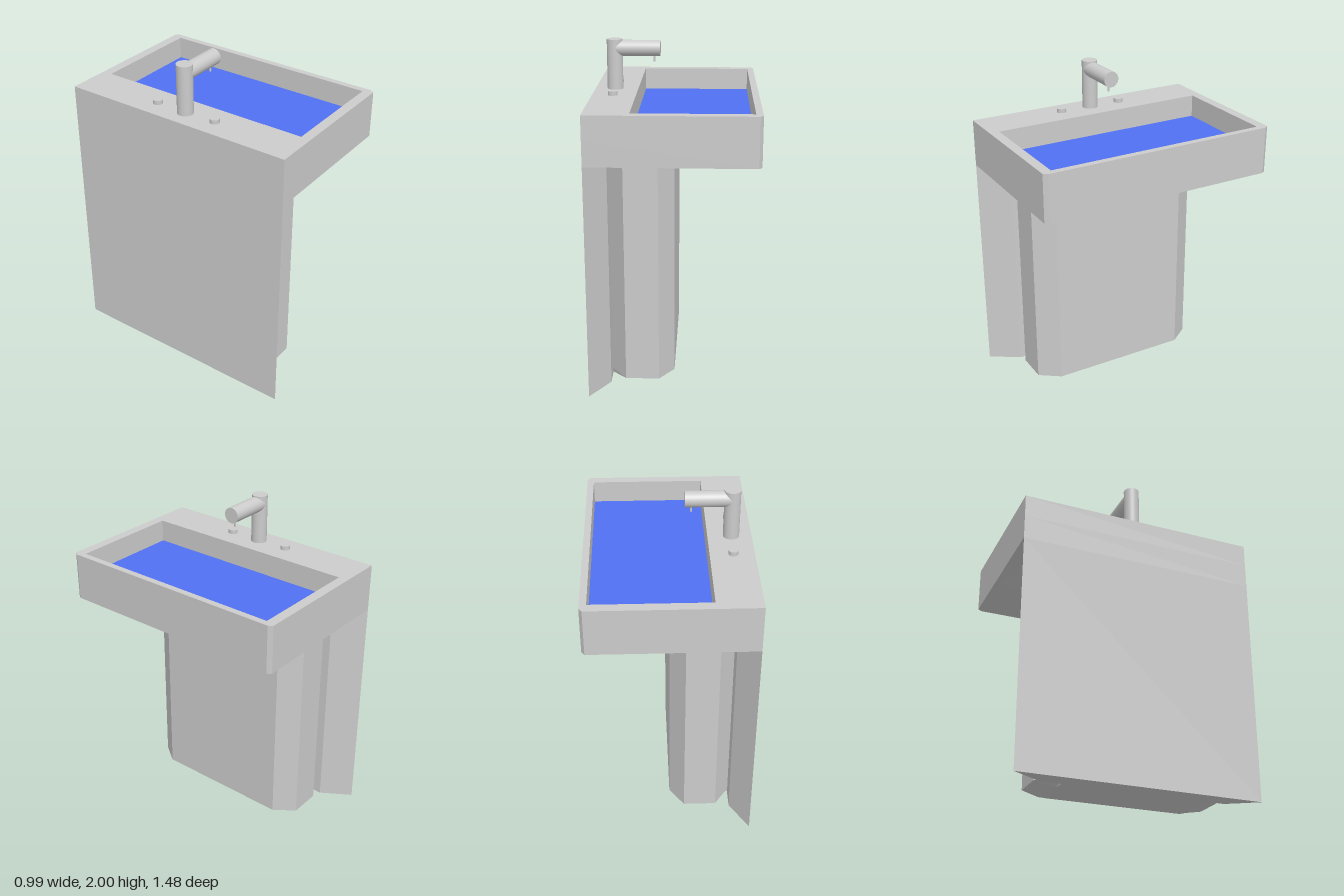
import * as THREE from 'three';

const grey = new THREE.MeshStandardMaterial({ color: 0xcccccc });
const flatGrey = new THREE.MeshStandardMaterial({ color: 0xcccccc, flatShading: true });
const blue = new THREE.MeshStandardMaterial({ color: 0x5070f2 });

// Mirror half an outline of [x, z] points across z = 0
const mirrored = half => [...half, ...half.map(([x, z]) => [x, -z]).reverse()];
const toPath = (half, Type) => new Type(mirrored(half).map(([x, z]) => new THREE.Vector2(x, -z)));

// Vertical prism from a plan outline
function prism(half, y0, y1, holeHalf) {
  const shape = toPath(half, THREE.Shape);
  if (holeHalf) shape.holes.push(toPath(holeHalf, THREE.Path));
  return new THREE.ExtrudeGeometry(shape, { depth: y1 - y0, bevelEnabled: false })
    .rotateX(-Math.PI / 2).translate(0, y0, 0);
}

// Faceted skin through stacked plan outlines, with a cap underneath
function loft(sections) {
  const rings = sections.map(([y, half]) => mirrored(half).map(([x, z]) => [x, y, z]));
  const n = rings[0].length, pos = [];
  for (let r = 0; r + 1 < rings.length; r++) {
    const lo = rings[r], hi = rings[r + 1];
    for (let i = 0; i < n; i++) {
      const j = (i + 1) % n;
      pos.push(...lo[i], ...lo[j], ...hi[j], ...lo[i], ...hi[j], ...hi[i]);
    }
  }
  for (let i = 1; i + 1 < n; i++) pos.push(...rings[0][0], ...rings[0][i + 1], ...rings[0][i]);
  const geo = new THREE.BufferGeometry();
  geo.setAttribute('position', new THREE.Float32BufferAttribute(pos, 3));
  geo.computeVertexNormals();
  return geo;
}

export function createModel() {
  const model = new THREE.Group();
  model.name = 'washbasin';
  const add = (parent, name, geo, mat = grey, x = 0, y = 0, z = 0) => {
    const mesh = new THREE.Mesh(geo, mat);
    mesh.name = name;
    mesh.position.set(x, y, z);
    parent.add(mesh);
    return mesh;
  };

  // Basin: solid slab below, rim with rectangular opening above, coloured floor
  const outline = [[-0.495, 0.74], [0.472, 0.74], [0.49, 0.715]];
  const opening = [[-0.235, 0.68], [0.45, 0.68]];
  const floorY = 1.56;
  const basin = new THREE.Group();
  basin.name = 'basin';
  model.add(basin);
  add(basin, 'basinBody', prism(outline, 1.41, floorY), flatGrey);
  add(basin, 'basinRim', prism(outline, floorY, 1.7, opening), flatGrey);
  add(basin, 'basinFloor', new THREE.PlaneGeometry(0.685, 1.36).rotateX(-Math.PI / 2),
    blue, 0.1075, floorY + 0.002, 0);

  // Wall panel with sloping sides
  add(model, 'backPanel', prism([[-0.495, 0.74], [-0.38, 0.56]], 0, 1.41), flatGrey);

  // Pedestal: bevelled foot, chamfered column, flare under the basin
  const column = [[-0.38, 0.44], [-0.29, 0.565], [-0.09, 0.565], [0, 0.44]];
  add(model, 'pedestal', loft([
    [0, [[-0.38, 0.43], [-0.31, 0.44], [-0.12, 0.44], [-0.09, 0.42]]],
    [0.03, column],
    [1.38, column],
    [1.41, [[-0.38, 0.44], [-0.38, 0.6], [0.08, 0.7], [0.09, 0.69]]],
  ]), flatGrey);

  // Tap: upright, horizontal spout and thin outlet
  const tap = new THREE.Group();
  tap.name = 'tap';
  model.add(tap);
  add(tap, 'tapColumn', new THREE.CylinderGeometry(0.048, 0.048, 0.3, 32), grey, -0.375, 1.85, 0);
  add(tap, 'tapSpout', new THREE.CylinderGeometry(0.048, 0.048, 0.275, 32).rotateZ(Math.PI / 2),
    grey, -0.2375, 1.946, 0);
  add(tap, 'tapOutlet', new THREE.CylinderGeometry(0.006, 0.006, 0.05, 12), grey, -0.137, 1.89, 0);

  // Push buttons either side of the tap
  for (const side of [1, -1]) {
    add(model, side > 0 ? 'frontButton' : 'backButton',
      new THREE.CylinderGeometry(0.029, 0.029, 0.025, 24), grey, -0.372, 1.7125, side * 0.202);
  }
  return model;
}
